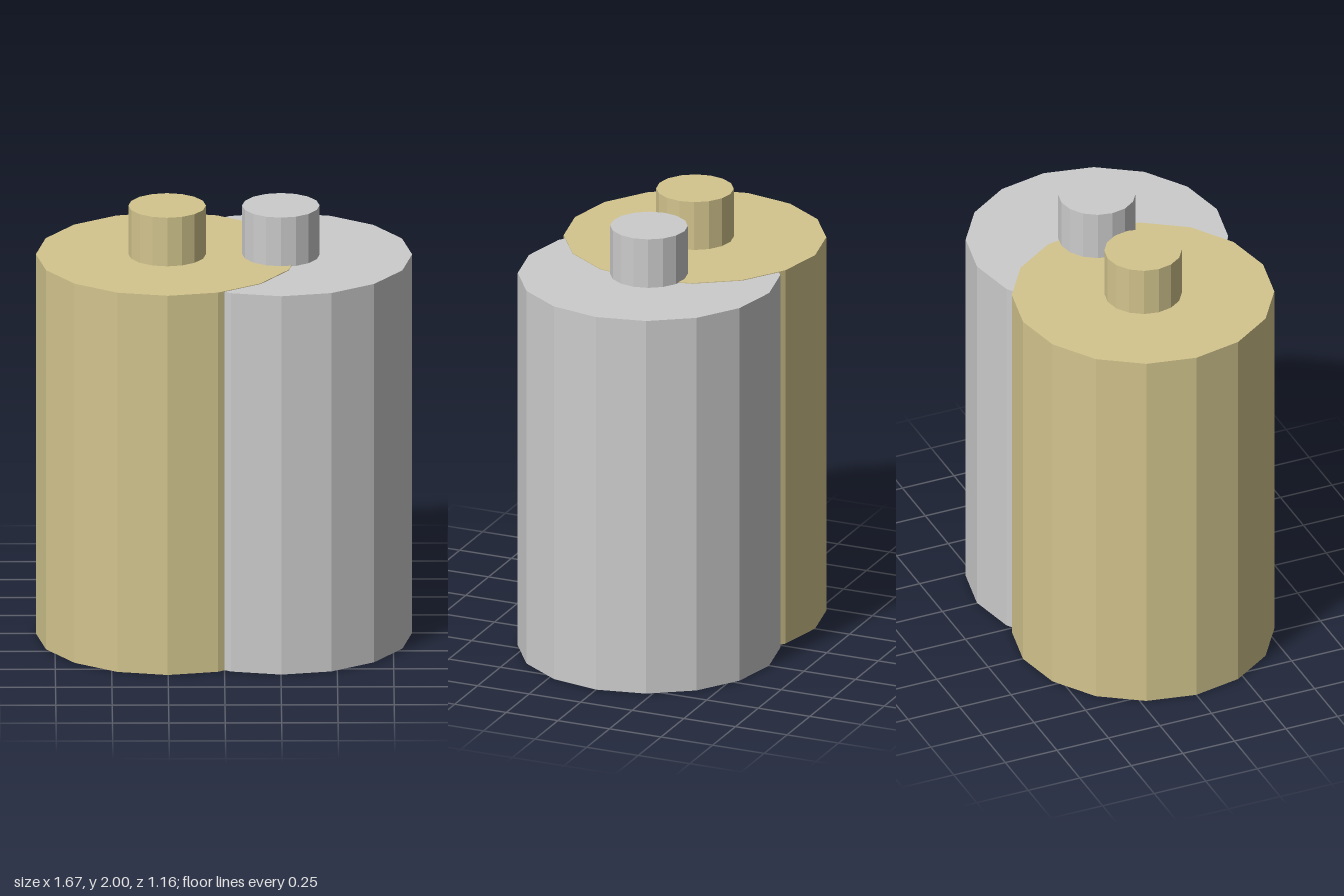
import * as THREE from 'three';

export function createModel() {
  const model = new THREE.Group();
  const grey = new THREE.MeshStandardMaterial({ color: 0xcccccc, flatShading: true });
  const gold = new THREE.MeshStandardMaterial({ color: 0xd3c58e, flatShading: true });

  // upright 16-sided cylinder spanning y0..y1
  function addCylinder(parent, name, radius, y0, y1, material) {
    const mesh = new THREE.Mesh(new THREE.CylinderGeometry(radius, radius, y1 - y0, 16), material);
    mesh.position.y = (y0 + y1) / 2;
    mesh.name = name;
    parent.add(mesh);
  }

  // one cell: a wide body with a narrow terminal on top
  function addCell(name, x, bottom, bodyTop, material) {
    const cell = new THREE.Group();
    cell.name = name;
    cell.position.x = x;
    addCylinder(cell, name + 'Body', 0.582, bottom, bodyTop, material);
    addCylinder(cell, name + 'Terminal', 0.172, bodyTop, 2, material);
    model.add(cell);
  }

  // the two bodies overlap; the gold caps sit a hair outside the grey ones
  addCell('leftCell', 0.252, 0.001, 1.77, grey);
  addCell('rightCell', -0.252, 0, 1.773, gold);

  return model;
}
